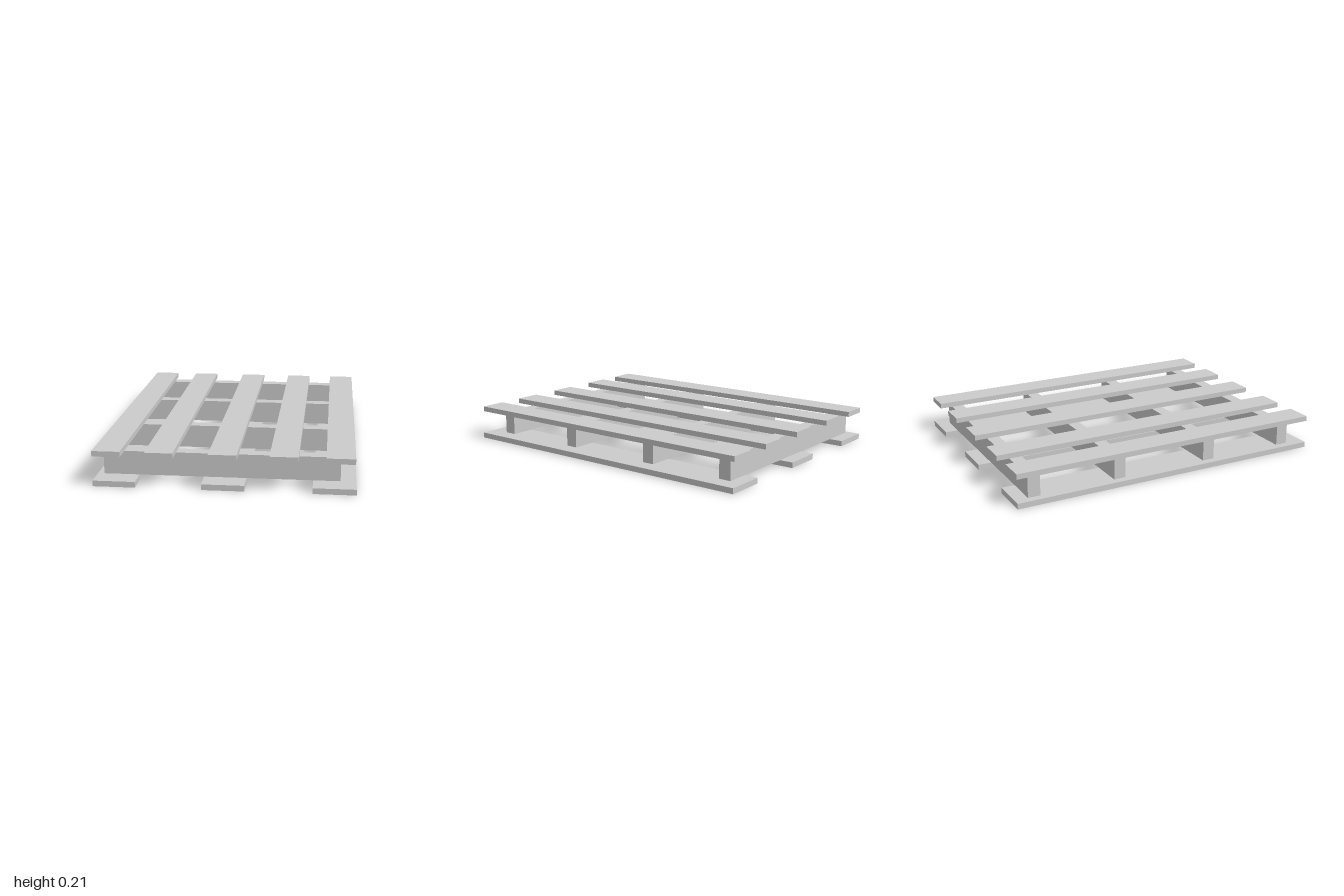
import * as THREE from 'three';

export function createModel() {
  const pallet = new THREE.Group();
  pallet.name = 'pallet';
  const wood = new THREE.MeshStandardMaterial({ color: 0xcccccc, flatShading: true });

  // A plank given its size, centre and the height of its underside
  function plank(name, width, height, depth, x, bottom, z) {
    const mesh = new THREE.Mesh(new THREE.BoxGeometry(width, height, depth), wood);
    mesh.name = name;
    mesh.position.set(x, bottom + height / 2, z);
    pallet.add(mesh);
  }

  // Three wide boards on the ground
  [-0.627, -0.002, 0.627].forEach((x, i) =>
    plank(`bottomBoard${i + 1}`, 0.246, 0.034, 2, x, 0, 0));

  // Four cross beams between the two decks
  [0.838, 0.28, -0.337, -0.883].forEach((z, i) =>
    plank(`crossBeam${i + 1}`, 1.37, 0.141, 0.076, -0.025, 0.037, z));

  // Five narrower boards on top
  [-0.668, -0.366, -0.004, 0.342, 0.659].forEach((x, i) =>
    plank(`topBoard${i + 1}`, 0.163, 0.032, 2, x, 0.179, 0));

  return pallet;
}
